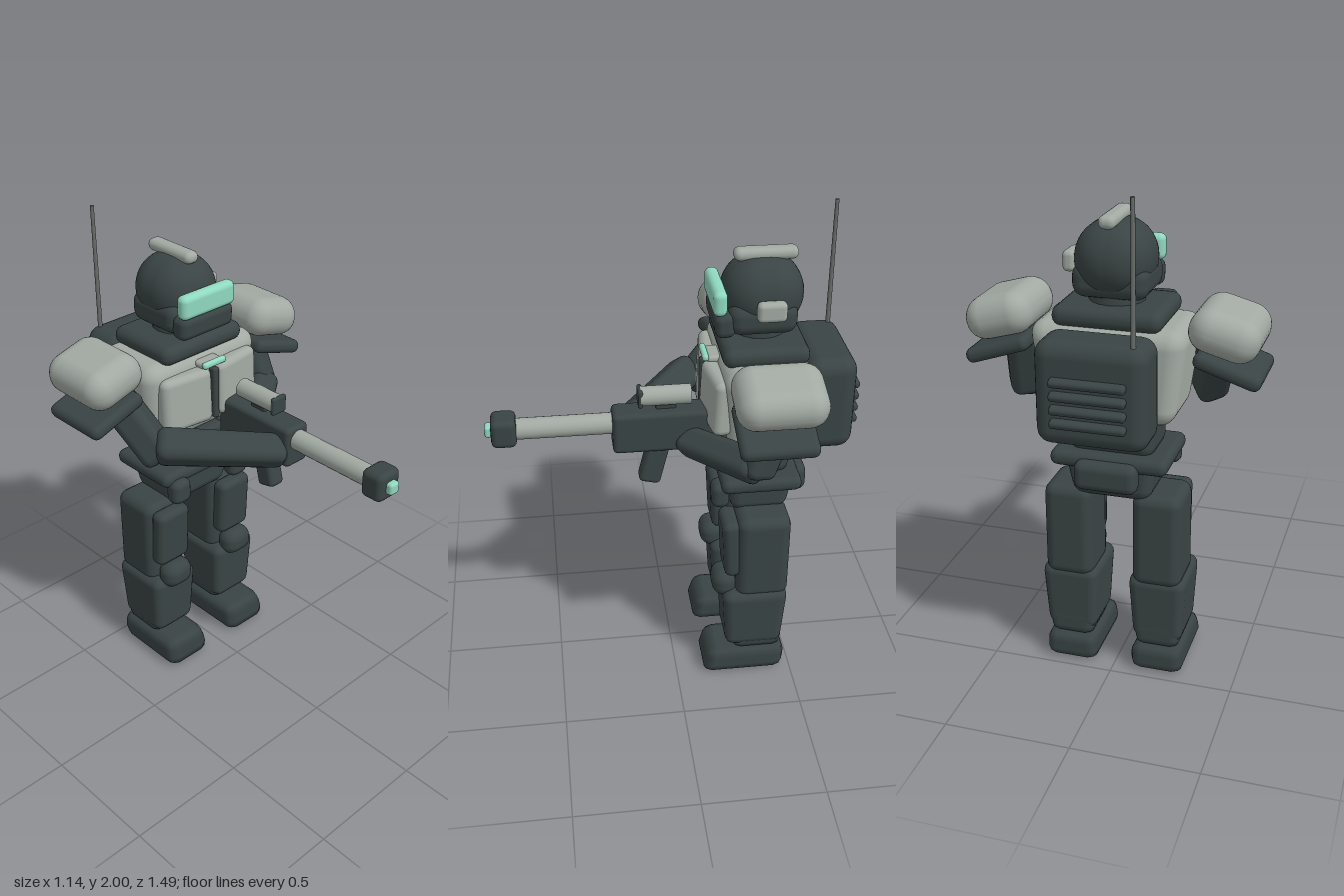
import * as THREE from 'three';
import { RoundedBoxGeometry } from 'three/addons/geometries/RoundedBoxGeometry.js';

const mat = (name, color) => {
  const m = new THREE.MeshStandardMaterial({ color });
  m.name = name;
  return m;
};

export function createModel() {
  const model = new THREE.Group();
  model.name = 'armouredTrooper';
  const dark = mat('charcoalArmour', 0x3a4444);
  const grey = mat('paleGreyArmour', 0xa2aaa3);
  const teal = mat('tealGlow', 0x8fd8bf);
  const steel = mat('steelGrey', 0x686e6b);

  const add = (name, geo, material, p, rot = [0, 0, 0]) => {
    const mesh = new THREE.Mesh(geo, material);
    mesh.name = name;
    mesh.position.set(...p);
    mesh.rotation.set(...rot);
    model.add(mesh);
    return mesh;
  };

  // Bevelled block; top and bottom scale the ends, shift slides the top along z
  const block = (w, h, d, r, { seg = 2, top = 1, bottom = 1, shift = 0 } = {}) => {
    const g = new RoundedBoxGeometry(w, h, d, seg, r);
    const p = g.attributes.position;
    for (let i = 0; i < p.count; i++) {
      const t = p.getY(i) / h + 0.5;
      const k = bottom + (top - bottom) * t;
      p.setXYZ(i, p.getX(i) * k, p.getY(i), p.getZ(i) * k + shift * t);
    }
    return g;
  };

  // Bevelled limb running between two points
  const limb = (name, a, b, w, d, opt) => {
    const A = new THREE.Vector3(...a), B = new THREE.Vector3(...b);
    const dir = B.clone().sub(A);
    const mesh = add(name, block(w, dir.length(), d, 0.04, opt), dark,
      A.clone().add(B).multiplyScalar(0.5).toArray());
    mesh.quaternion.setFromUnitVectors(new THREE.Vector3(0, 1, 0), dir.normalize());
  };

  const rod = (name, r, z0, z1, x, y, material, sides = 20) =>
    add(name, new THREE.CylinderGeometry(r, r, z1 - z0, sides), material,
      [x, y, (z0 + z1) / 2], [Math.PI / 2, 0, 0]);

  // Legs, shoulders and belt pouches, mirrored
  for (const s of [1, -1]) {
    const x = 0.18 * s;
    add('foot', block(0.225, 0.125, 0.365, 0.045, { seg: 1, top: 0.93, shift: -0.02 }), dark, [x, 0.0625, -0.287]);
    add('ankle', block(0.19, 0.12, 0.22, 0.04, { seg: 1 }), dark, [x, 0.175, -0.35]);
    add('shin', block(0.235, 0.29, 0.28, 0.04, { bottom: 0.86 }), dark, [x, 0.29, -0.333]);
    add('thigh', block(0.2, 0.4, 0.225, 0.045), dark, [x, 0.6, -0.362]);
    add('thighPlate', block(0.17, 0.27, 0.075, 0.03), dark, [x, 0.645, -0.232], [0.06, 0, 0]);
    add('kneePad', block(0.145, 0.12, 0.105, 0.05, { seg: 3 }), dark, [x, 0.452, -0.208]);
    add('beltPouch', block(0.095, 0.11, 0.075, 0.03), dark, [0.163 * s, 0.885, -0.185]);
    add('shoulderPad', block(0.275, 0.165, 0.355, 0.08, { seg: 4, top: 0.96 }), grey,
      [0.43 * s, 1.475, -0.353], [0, 0, -0.27 * s]);
    add('shoulderSkirt', block(0.265, 0.06, 0.3, 0.028), dark,
      [0.443 * s, 1.34, -0.34], [0, 0, -0.32 * s]);
    add('chestPanel', block(0.235, 0.235, 0.08, 0.03), grey,
      [0.132 * s, 1.315, -0.167], [-0.04, 0.14 * s, 0]);
  }

  // Hips and waist
  add('pelvis', block(0.37, 0.18, 0.28, 0.05, { bottom: 0.83 }), dark, [0, 0.86, -0.355]);
  add('belt', block(0.465, 0.065, 0.33, 0.03), dark, [0, 0.938, -0.35]);
  add('rearPouch', block(0.25, 0.12, 0.085, 0.035), dark, [0, 0.892, -0.515]);
  add('abdomen', block(0.34, 0.17, 0.235, 0.05), dark, [0, 1.035, -0.355]);
  for (const y of [1.01, 1.075])
    add('abdomenPlate', block(0.24, 0.06, 0.07, 0.025), dark, [0, y, -0.228]);

  // Torso
  add('torso', block(0.61, 0.385, 0.36, 0.07, { seg: 3, bottom: 0.82 }), grey, [0, 1.292, -0.355]);
  add('chestSeam', block(0.03, 0.23, 0.04, 0.012), dark, [0, 1.315, -0.135]);
  add('chestLight', block(0.12, 0.028, 0.026, 0.012), teal, [0, 1.449, -0.134]);
  add('chestLightMount', block(0.11, 0.03, 0.08, 0.014), grey, [0, 1.44, -0.18]);
  add('collar', block(0.42, 0.08, 0.34, 0.038), dark, [0, 1.508, -0.35]);
  add('neck', new THREE.CylinderGeometry(0.1, 0.11, 0.1, 16), dark, [0, 1.56, -0.35]);

  // Helmet
  add('helmet', block(0.305, 0.285, 0.33, 0.14, { seg: 6, top: 0.95 }), dark, [0, 1.71, -0.355]);
  add('helmetBase', block(0.29, 0.13, 0.27, 0.05, { seg: 3 }), dark, [0, 1.635, -0.345]);
  add('jawGuard', block(0.275, 0.1, 0.08, 0.03), dark, [0, 1.615, -0.197], [0.08, 0, 0]);
  add('visor', block(0.275, 0.1, 0.055, 0.024, { seg: 3 }), teal, [0, 1.708, -0.176]);
  add('helmetCrest', block(0.065, 0.05, 0.25, 0.024, { seg: 3 }), grey, [0, 1.858, -0.366]);
  add('earModule', block(0.05, 0.08, 0.115, 0.02), grey, [0.168, 1.69, -0.365]);

  // Backpack with vents and aerial
  add('backpack', block(0.425, 0.4, 0.205, 0.06, { seg: 3 }), dark, [0, 1.28, -0.613]);
  for (let i = 0; i < 4; i++)
    add('backpackVent', block(0.285, 0.03, 0.055, 0.013), dark, [0, 1.183 + i * 0.052, -0.716], [-0.3, 0, 0]);
  add('aerial', new THREE.CylinderGeometry(0.008, 0.01, 0.56, 10), steel, [-0.155, 1.72, -0.67]);

  // Right arm reaches forward to the gun, left arm crosses to the grip
  limb('rightUpperArm', [-0.38, 1.39, -0.34], [-0.3, 1.13, -0.11], 0.13, 0.14);
  limb('rightForearm', [-0.33, 1.2, -0.12], [0.07, 1.155, 0.21], 0.14, 0.14, { top: 0.88 });
  limb('leftUpperArm', [0.38, 1.4, -0.37], [0.405, 1.12, -0.27], 0.13, 0.14);
  limb('leftForearm', [0.43, 1.165, -0.29], [0.12, 1.125, -0.04], 0.13, 0.13, { top: 0.88 });

  // Rifle
  const gx = 0.1;
  add('rifleBody', block(0.12, 0.175, 0.4, 0.02), dark, [gx, 1.182, 0.045]);
  add('rifleMagazine', block(0.075, 0.2, 0.09, 0.02), dark, [gx, 1.03, 0.078], [-0.24, 0, 0]);
  rod('barrel', 0.043, 0.2, 0.64, gx, 1.21, grey);
  const muzzle = add('muzzle', block(0.12, 0.12, 0.1, 0.025), dark, [gx, 1.212, 0.67]);
  muzzle.rotation.z = 0;
  add('muzzleLight', block(0.05, 0.05, 0.04, 0.012), teal, [gx, 1.212, 0.725]);
  rod('scope', 0.04, -0.07, 0.13, gx, 1.323, grey);
  add('scopeLens', block(0.075, 0.075, 0.02, 0.009), dark, [gx, 1.323, 0.132]);
  add('scopeMount', block(0.03, 0.04, 0.08, 0.008), dark, [gx, 1.275, 0.03]);

  return model;
}
